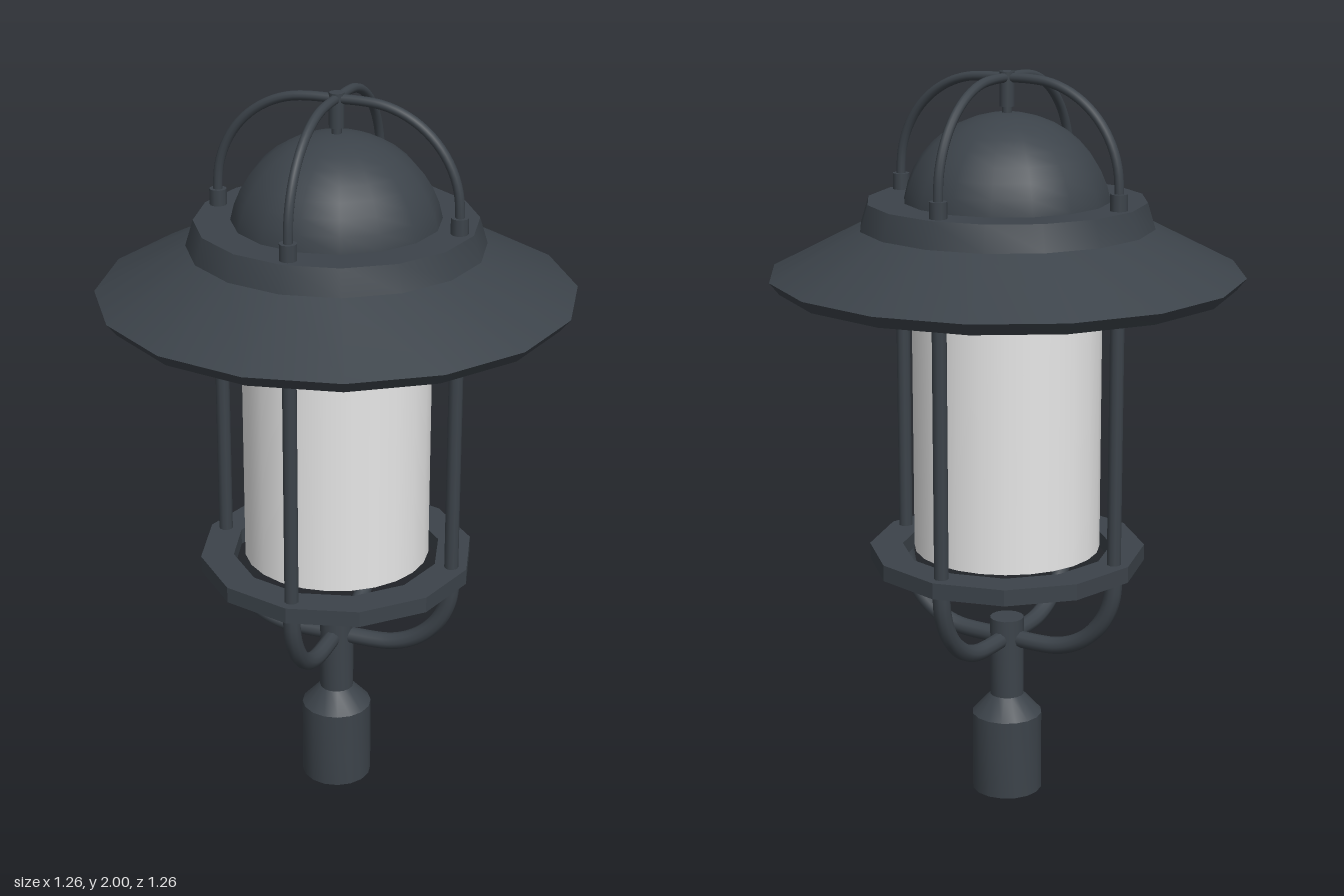
import * as THREE from 'three';
import { toCreasedNormals } from 'three/addons/utils/BufferGeometryUtils.js';

const metal = new THREE.MeshStandardMaterial({ color: 0x3c434a });
metal.name = 'dark metal';
const glass = new THREE.MeshStandardMaterial({ color: 0xe8e8e8, side: THREE.DoubleSide });
glass.name = 'frosted glass';

// Turned part from [radius, height] pairs, outline running bottom to top
function turned(name, outline, sides = 16) {
  const geo = new THREE.LatheGeometry(outline.map(([r, y]) => new THREE.Vector2(r, y)), sides);
  const mesh = new THREE.Mesh(toCreasedNormals(geo, 0.5), metal);
  mesh.name = name;
  return mesh;
}

function rod(name, radius, y0, y1, x = 0, sides = 10) {
  const mesh = new THREE.Mesh(new THREE.CylinderGeometry(radius, radius, y1 - y0, sides), metal);
  mesh.position.set(x, (y0 + y1) / 2, 0);
  mesh.name = name;
  return mesh;
}

// Half of a U-shaped bar: straight leg at x = reach, rounded corner, flat run to the axis
function halfHoop(name, reach, legY, crownY, corner, radius) {
  const dir = Math.sign(crownY - legY);
  const cx = reach - corner, cy = crownY - dir * corner;
  const points = [new THREE.Vector3(reach, legY, 0)];
  for (let i = 0; i <= 8; i++) {
    const a = (i / 8) * Math.PI / 2;
    points.push(new THREE.Vector3(cx + corner * Math.cos(a), cy + dir * corner * Math.sin(a), 0));
  }
  points.push(new THREE.Vector3(0, crownY, 0));
  const path = new THREE.CatmullRomCurve3(points, false, 'centripetal');
  const mesh = new THREE.Mesh(new THREE.TubeGeometry(path, 28, radius, 10), metal);
  mesh.name = name;
  return mesh;
}

export function createModel() {
  const model = new THREE.Group();
  model.name = 'postLantern';

  // Post socket, taper and neck
  model.add(turned('post', [
    [0, 0], [0.097, 0], [0.097, 0.225], [0.047, 0.28], [0.047, 0.505], [0, 0.505],
  ]));

  // Twelve-sided ring around the foot of the glass
  model.add(turned('lowerRing', [
    [0.285, 0.673], [0.375, 0.673], [0.375, 0.717], [0.285, 0.717], [0.285, 0.673],
  ], 12));

  // Open glass tube
  const tube = new THREE.Mesh(
    new THREE.CylinderGeometry(0.253, 0.253, 0.765, 24, 1, true), glass);
  tube.position.y = 1.0975;
  tube.name = 'glassTube';
  model.add(tube);

  // Wide shade with shallow hollow underside, lip and collar
  model.add(turned('shade', [
    [0, 1.475], [0.3, 1.475], [0.605, 1.443], [0.631, 1.475],
    [0.391, 1.598], [0.37, 1.667], [0, 1.667],
  ]));

  // Dome cap
  const dome = new THREE.Mesh(
    new THREE.SphereGeometry(0.277, 16, 10, 0, Math.PI * 2, 0, Math.PI / 2), metal);
  dome.scale.y = 0.975;
  dome.position.y = 1.625;
  dome.name = 'dome';
  model.add(dome);

  // Hub joining the top hoops
  model.add(rod('hubStem', 0.013, 1.87, 1.93), rod('hub', 0.02, 1.91, 2));

  // Four identical sides of the cage
  for (let i = 0; i < 4; i++) {
    const side = new THREE.Group();
    side.name = 'cageSide' + (i + 1);
    side.add(
      rod('upright', 0.019, 0.7, 1.48, 0.332),
      halfHoop('lowerArm', 0.332, 0.69, 0.447, 0.215, 0.0235),
      halfHoop('topHoop', 0.332, 1.66, 1.984, 0.26, 0.0125),
      rod('hoopSocket', 0.023, 1.66, 1.71, 0.332),
    );
    side.rotation.y = i * Math.PI / 2;
    model.add(side);
  }
  return model;
}
